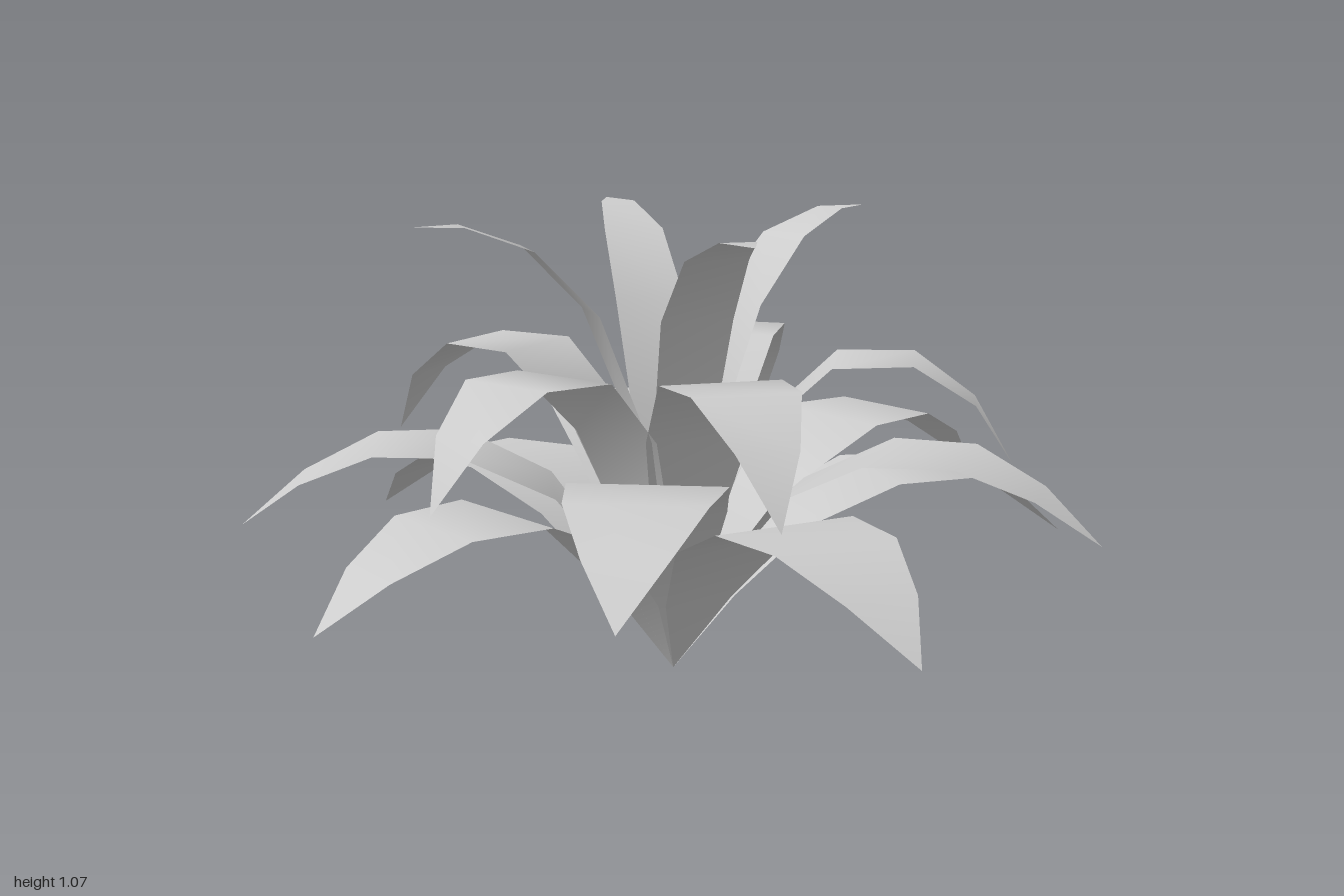
import * as THREE from 'three';

const CENTRE = { x: -0.02, z: 0.02 };

// Each tier: blade width, midrib profile as [radius, height] from base to tip,
// and the ground position [x, z] of every leaf tip.
const TIERS = [
  {
    name: 'lowerLeaf', width: 0.355,
    profile: [[0, 0], [0.12, 0.19], [0.28, 0.36], [0.49, 0.447], [0.69, 0.443], [0.86, 0.365], [1, 0.255]],
    tips: [[1.0, -0.03], [0.22, 0.965], [-0.91, 0.395], [-0.57, -0.82], [0.53, -0.845]],
  },
  {
    name: 'middleLeaf', width: 0.35,
    profile: [[0, 0], [0.12, 0.24], [0.28, 0.45], [0.49, 0.553], [0.69, 0.555], [0.86, 0.48], [1, 0.37]],
    tips: [[-0.02, -0.98], [0.9, -0.365], [0.81, 0.57], [-0.4, 0.935], [-1.0, -0.175]],
  },
  {
    name: 'upperLeaf', width: 0.28,
    profile: [[0, 0], [0.08, 0.31], [0.2, 0.59], [0.37, 0.75], [0.55, 0.755], [0.69, 0.66], [0.78, 0.51]],
    tips: [[-0.57, -0.53], [0.415, -0.63], [0.705, 0.325], [-0.02, 0.8], [-0.67, 0.455]],
  },
  {
    name: 'crownLeaf', width: 0.168,
    profile: [[0, 0], [0.04, 0.32], [0.1, 0.62], [0.195, 0.86], [0.34, 1.01], [0.49, 1.065], [0.604, 1.065]],
    tips: [[-0.02, -0.59], [0.535, -0.215], [-0.02, 0.62], [-0.625, 0.02]],
  },
];

// Thin lens-shaped blade pointing along +x, bent along its profile
function leafGeometry({ profile, width }) {
  const n = profile.length - 1;
  const geo = new THREE.PlaneGeometry(1, 1, 1, n);
  const pos = geo.attributes.position;
  profile.forEach(([r, y], i) => {
    const half = (width / 2) * Math.sin((Math.PI * i) / n);
    pos.setXYZ(2 * i, r, y, -half);
    pos.setXYZ(2 * i + 1, r, y, half);
  });
  // Reverse the triangles so the upper side is the front
  geo.setIndex(Array.from(geo.index.array).reverse());
  geo.computeVertexNormals();
  return geo;
}

export function createModel() {
  const plant = new THREE.Group();
  plant.name = 'leafyPlant';
  const material = new THREE.MeshStandardMaterial({ color: 0xcccccc, side: THREE.DoubleSide });

  for (const tier of TIERS) {
    const geometry = leafGeometry(tier);
    const reach = tier.profile[tier.profile.length - 1][0];
    tier.tips.forEach(([x, z], i) => {
      const dx = x - CENTRE.x, dz = z - CENTRE.z;
      const leaf = new THREE.Mesh(geometry, material);
      leaf.name = `${tier.name}${i + 1}`;
      leaf.position.set(CENTRE.x, 0, CENTRE.z);
      leaf.rotation.y = -Math.atan2(dz, dx);
      leaf.scale.x = Math.hypot(dx, dz) / reach;
      plant.add(leaf);
    });
  }
  return plant;
}
